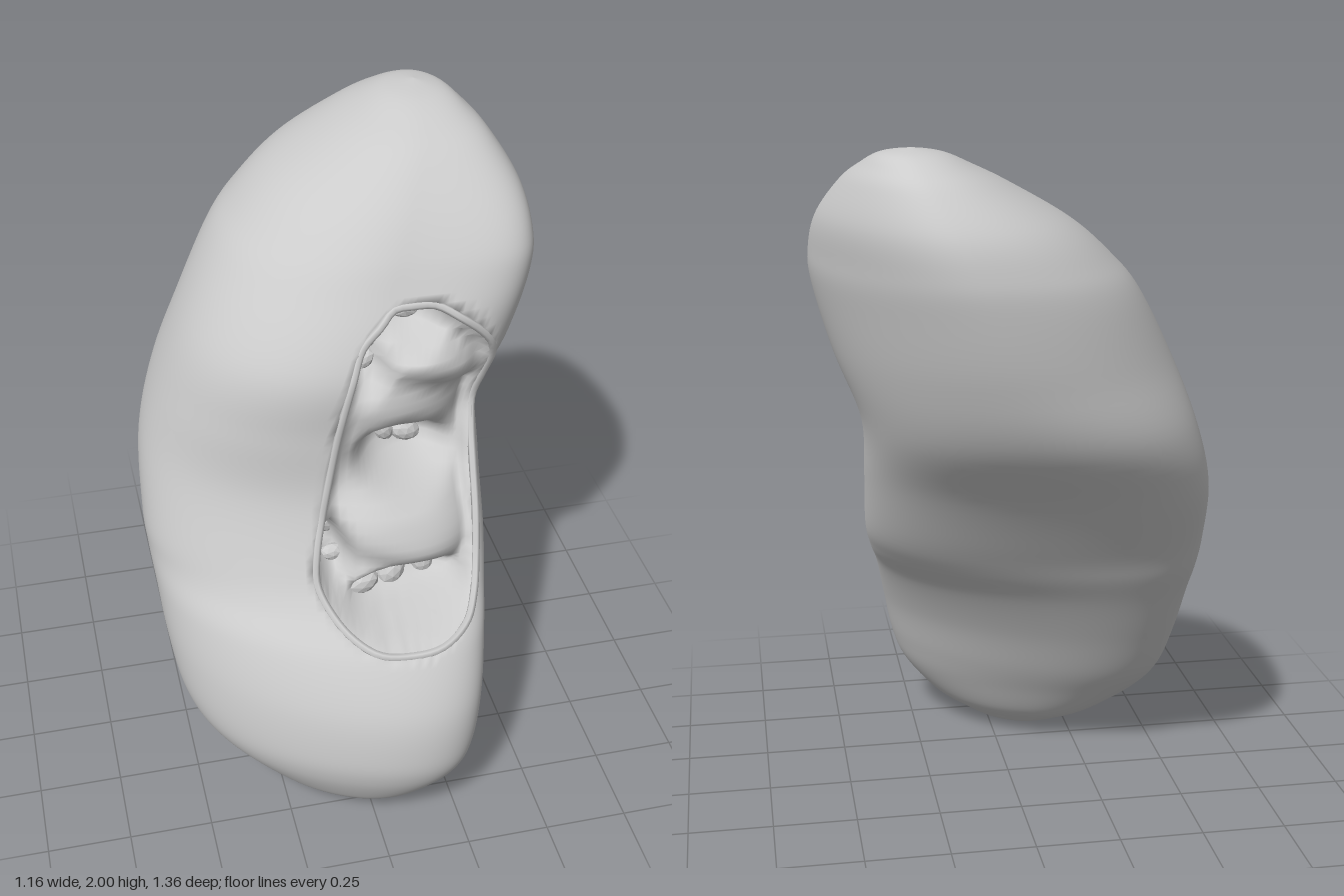
import * as THREE from 'three';

const RINGS = 130, SEGS = 150;

// Body sections: y, xMin, xMax, zBack, zFront, skew, forward bend of the left side
const sections = [
  [0, -0.06, -0.06, 0.42, 0.42, 0.6, 0], [0.015, -0.16, 0.03, 0.32, 0.51, 0.6, 0],
  [0.05, -0.25, 0.1, 0.25, 0.56, 0.6, 0], [0.1, -0.34, 0.18, 0.18, 0.61, 0.62, 0],
  [0.2, -0.46, 0.27, 0.09, 0.665, 0.65, 0], [0.3, -0.52, 0.31, 0.01, 0.68, 0.65, 0],
  [0.45, -0.55, 0.34, -0.08, 0.655, 0.62, 0], [0.6, -0.565, 0.37, -0.17, 0.57, 0.55, 0],
  [0.7, -0.575, 0.4, -0.235, 0.46, 0.48, 0], [0.8, -0.58, 0.42, -0.295, 0.385, 0.4, 0],
  [1.0, -0.565, 0.43, -0.435, 0.3, 0.3, 0], [1.2, -0.51, 0.445, -0.585, 0.27, 0.1, 0.08],
  [1.4, -0.43, 0.52, -0.645, 0.265, 0, 0.3], [1.6, -0.32, 0.575, -0.675, 0.18, 0, 0.5],
  [1.7, -0.235, 0.58, -0.675, 0.13, 0, 0.55], [1.8, -0.12, 0.56, -0.65, 0.05, 0, 0.5],
  [1.9, 0.05, 0.5, -0.58, -0.06, 0, 0.4], [1.95, 0.15, 0.45, -0.52, -0.15, 0, 0.3],
  [1.985, 0.23, 0.4, -0.45, -0.25, 0, 0.2], [2, 0.32, 0.32, -0.36, -0.36, 0, 0.2],
];
const columns = sections[0].map(
  (_, c) => new THREE.SplineCurve(sections.map((s, i) => new THREE.Vector2(i, s[c]))));

// Outline of the opening in the front, in x and y
const outline = new THREE.SplineCurve([
  [0.13, 1.57], [0.25, 1.57], [0.38, 1.48], [0.43, 1.37], [0.4, 1.18], [0.385, 1.0], [0.36, 0.76], [0.29, 0.65],
  [0.1, 0.61], [-0.05, 0.65], [-0.13, 0.77], [-0.1, 0.95], [-0.07, 1.1], [-0.03, 1.3], [0.03, 1.48], [0.13, 1.57],
].map(([x, y]) => new THREE.Vector2(x, y))).getPoints(90);

// Hollows (positive) and folds (negative) of the floor: x, y, radius x, radius y, tilt, depth
const relief = [
  [0.19, 1.48, 0.1, 0.06, 0.3, 0.12], [0.07, 1.38, 0.05, 0.08, 0, 0.12], [0.18, 1.06, 0.14, 0.085, -0.2, 0.16],
  [0.14, 0.69, 0.17, 0.06, 0.1, 0.14], [-0.07, 0.81, 0.05, 0.1, 0.2, 0.12],
  [0.28, 1.36, 0.17, 0.06, -0.4, -0.05], [0.2, 1.22, 0.2, 0.06, -0.1, -0.02], [0.16, 0.87, 0.24, 0.09, -0.15, -0.06],
];

// Small lumps inside the hollows: x, y, radius
const lumps = [
  [0.2, 1.48, 0.045], [0.07, 1.35, 0.035], [0.09, 1.42, 0.03], [0.14, 1.07, 0.04], [0.21, 1.05, 0.045],
  [0.02, 0.69, 0.05], [0.12, 0.69, 0.05], [0.22, 0.7, 0.045], [-0.07, 0.84, 0.04], [-0.05, 0.76, 0.035],
];

// How far the point lies inside the opening, 0 when outside
function insideDistance(x, y) {
  let inside = false, best = Infinity;
  for (let i = 0, j = outline.length - 1; i < outline.length; j = i++) {
    const p = outline[i], q = outline[j];
    if ((p.y > y) !== (q.y > y) && x < ((q.x - p.x) * (y - p.y)) / (q.y - p.y) + p.x) inside = !inside;
    best = Math.min(best, Math.hypot(p.x - x, p.y - y));
  }
  return inside ? best : 0;
}

function cavityDepth(x, y) {
  const wall = THREE.MathUtils.smoothstep(insideDistance(x, y), 0, 0.045);
  if (wall === 0) return 0;
  let depth = 0.085;
  for (const [cx, cy, rx, ry, tilt, d] of relief) {
    const c = Math.cos(tilt), s = Math.sin(tilt);
    const u = ((x - cx) * c + (y - cy) * s) / rx, v = ((y - cy) * c - (x - cx) * s) / ry;
    depth += d * Math.exp(-((u * u + v * v) ** 2));
  }
  return wall * depth;
}

// One horizontal ring: a skewed, bent oval fitted to the section
function ring(t) {
  const [y, x0, x1, z0, z1, skew, bend] = columns.map((c) => c.getPoint(t).y);
  const power = (v) => Math.sign(v) * Math.abs(v) ** (2 / 2.1);
  const raw = [];
  for (let j = 0; j < SEGS; j++) {
    const a = (j / SEGS) * Math.PI * 2;
    const u = power(Math.cos(a));
    raw.push([u, power(Math.sin(a)) + skew * u + bend * Math.max(u, 0) ** 2]);
  }
  const depths = raw.map((p) => p[1]);
  const low = Math.min(...depths), high = Math.max(...depths);
  return raw.map(([u, w]) => new THREE.Vector3(
    (x0 + x1) / 2 + (u * (x1 - x0)) / 2, THREE.MathUtils.clamp(y, 0, 2),
    THREE.MathUtils.mapLinear(w, low, high, z0, z1)));
}

// z of the surface point nearest to x, y
function depthAt(surface, x, y) {
  let best = Infinity, z = 0;
  for (const p of surface) {
    const d = (p.x - x) ** 2 + (p.y - y) ** 2;
    if (d < best) { best = d; z = p.z; }
  }
  return z;
}

export function createModel() {
  const group = new THREE.Group();
  const material = new THREE.MeshStandardMaterial({ color: 0xcccccc, side: THREE.DoubleSide });
  const faceted = new THREE.MeshStandardMaterial({ color: 0xcccccc, flatShading: true });
  const add = (name, geometry, mat) => {
    const mesh = new THREE.Mesh(geometry, mat);
    mesh.name = name;
    group.add(mesh);
    return mesh;
  };

  // Bean-shaped body with the hollow pressed into its front
  const positions = [], index = [], outer = [], inner = [];
  for (let i = 0; i <= RINGS; i++) {
    ring(i / RINGS).forEach((p, j) => {
      const q = p.clone();
      if (j > 0 && j < SEGS / 2) {
        q.z -= cavityDepth(p.x, p.y);
        outer.push(p);
        inner.push(q);
      }
      positions.push(q.x, q.y, q.z);
      if (i === RINGS) return;
      const a = i * SEGS + j, b = i * SEGS + ((j + 1) % SEGS);
      index.push(a, a + SEGS, b, b, a + SEGS, b + SEGS);
    });
  }
  const body = new THREE.BufferGeometry();
  body.setAttribute('position', new THREE.Float32BufferAttribute(positions, 3));
  body.setIndex(index);
  body.computeVertexNormals();
  add('body', body, material);

  // Thin rim around the opening
  const rimPath = new THREE.CatmullRomCurve3(
    outline.slice(0, -1).filter((p, i) => i % 3 === 0)
      .map((p) => new THREE.Vector3(p.x, p.y, depthAt(outer, p.x, p.y) - 0.006)), true);
  add('openingRim', new THREE.TubeGeometry(rimPath, 120, 0.012, 6, true), material);

  // Lumps resting in the hollows
  lumps.forEach(([x, y, r], k) => {
    const lump = add('lump' + (k + 1), new THREE.IcosahedronGeometry(r, 1), faceted);
    lump.position.set(x, y, depthAt(inner, x, y));
    lump.scale.set(1.15, 0.8, 0.7);
    lump.rotation.z = k * 0.7;
  });

  return group;
}
